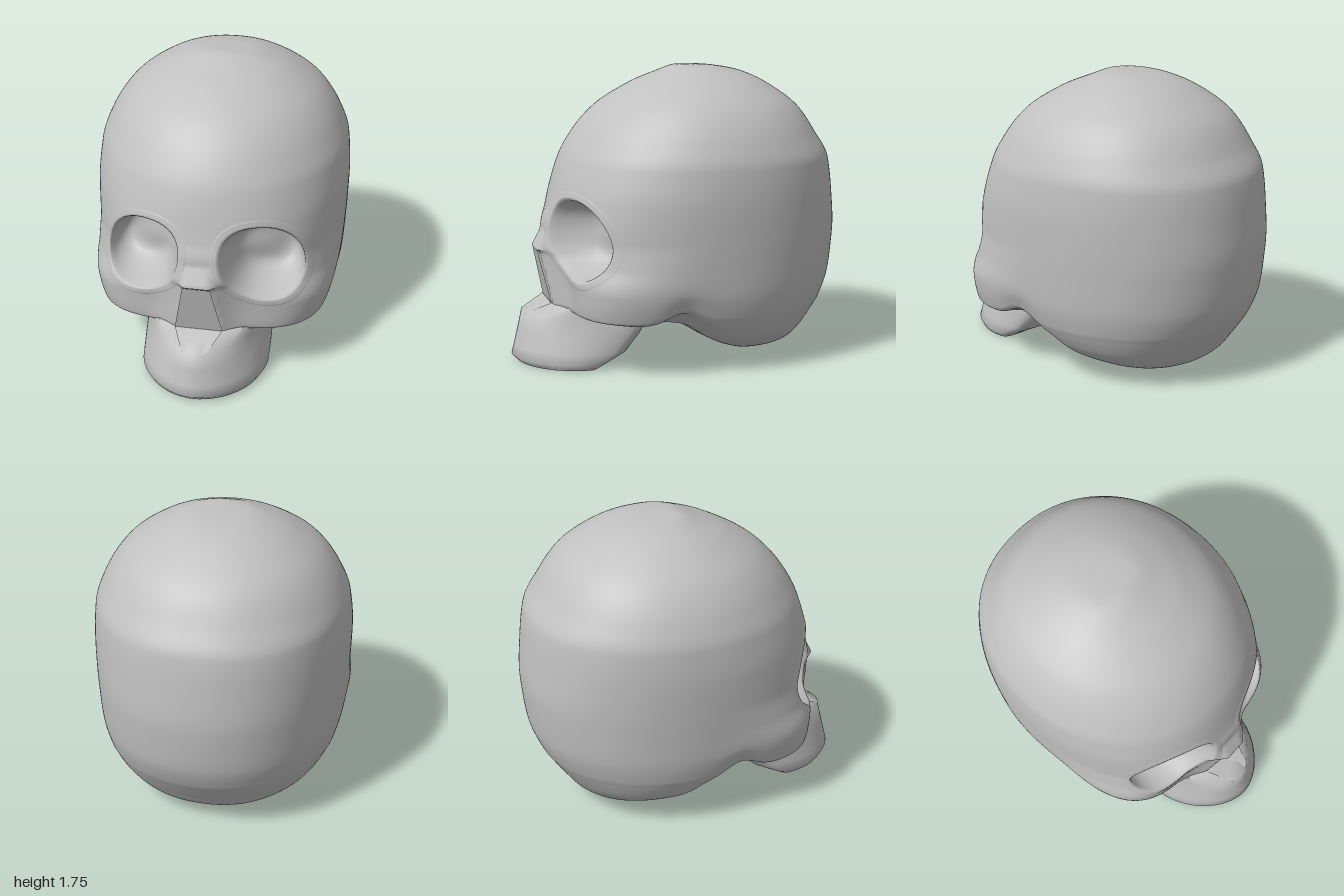
import * as THREE from 'three';
import { toCreasedNormals } from 'three/addons/utils/BufferGeometryUtils.js';

const { clamp, smoothstep, lerp } = THREE.MathUtils;

// Each row: y, front z, back z, half width, widest z, front squareness
const CRANIUM = [
  [0.02, -0.36, -0.5, 0.1, -0.43, 2],
  [0.05, -0.26, -0.62, 0.28, -0.4, 2],
  [0.11, -0.14, -0.745, 0.46, -0.33, 2],
  [0.2, 0, -0.815, 0.605, -0.22, 2],
  [0.28, 0.16, -0.87, 0.665, -0.16, 2.2],
  [0.31, 0.4, -0.89, 0.682, -0.14, 2.8],
  [0.325, 0.62, -0.9, 0.69, -0.13, 3.4],
  [0.35, 0.69, -0.915, 0.702, -0.12, 3.8],
  [0.5, 0.705, -0.97, 0.735, -0.1, 3.7],
  [0.65, 0.735, -0.99, 0.745, -0.1, 2.75],
  [0.8, 0.79, -1, 0.752, -0.1, 2.2],
  [1.0, 0.75, -0.985, 0.757, -0.1, 2.15],
  [1.21, 0.69, -0.955, 0.742, -0.12, 2.05],
  [1.35, 0.615, -0.875, 0.693, -0.13, 2],
  [1.51, 0.475, -0.765, 0.59, -0.14, 2],
  [1.65, 0.25, -0.575, 0.412, -0.15, 2],
  [1.72, 0.08, -0.42, 0.265, -0.15, 2],
  [1.75, 0.005, -0.27, 0.165, -0.13, 2],
  [1.76, -0.025, -0.14, 0.07, -0.08, 2],
];

// Smooth profile through the table without overshoot
function rowAt(rows, y) {
  const slope = (i, c) => (rows[i + 1][c] - rows[i][c]) / (rows[i + 1][0] - rows[i][0]);
  const tangent = (i, c) => {
    if (i === 0) return slope(0, c);
    if (i === rows.length - 1) return slope(i - 1, c);
    const a = slope(i - 1, c), b = slope(i, c);
    return a * b > 0 ? (2 * a * b) / (a + b) : 0;
  };
  let i = 0;
  while (i < rows.length - 2 && y > rows[i + 1][0]) i++;
  const h = rows[i + 1][0] - rows[i][0], t = (y - rows[i][0]) / h;
  return rows[i].map((p, c) => {
    if (c === 0) return y;
    const q = rows[i + 1][c], m = tangent(i, c) * h, n = tangent(i + 1, c) * h;
    return p + t * (m + t * (3 * (q - p) - 2 * m - n + t * (2 * (p - q) + m + n)));
  });
}

function refine(rows, steps) {
  const out = [rows[0]];
  for (let i = 1; i < rows.length; i++) {
    for (let k = 1; k <= steps; k++) out.push(rowAt(rows, lerp(rows[i - 1][0], rows[i][0], k / steps)));
  }
  return out;
}

// Stacks rounded horizontal loops; shape moves a point, cut leaves out cells
function loft(rows, segments, backPower, crease, shape = () => {}, cut = () => false) {
  const pos = [], index = [], open = [];
  for (const [y, zf, zb, hw, zc, n] of rows) {
    for (let j = 0; j < segments; j++) {
      const a = (j / segments) * Math.PI * 2;
      const c = Math.cos(a), s = Math.sin(a);
      const p = s > 0 ? n : backPower;
      const r = 1 / Math.pow(Math.abs(c) ** p + Math.abs(s) ** p, 1 / p);
      const v = new THREE.Vector3(hw * c * r, y, zc + s * r * (s > 0 ? zf - zc : zc - zb));
      shape(v);
      open.push(cut(v));
      pos.push(v.x, v.y, v.z);
    }
  }
  const last = rows.length - 1;
  for (let i = 0; i < last; i++) {
    for (let j = 0; j < segments; j++) {
      const a = i * segments + j, b = i * segments + ((j + 1) % segments);
      const c = a + segments, d = b + segments;
      if (!(open[a] || open[b] || open[c] || open[d])) index.push(a, c, b, b, c, d);
    }
  }
  // Close both ends
  for (const i of [0, last]) {
    const [y, zf, zb] = rows[i];
    const centre = pos.length / 3;
    pos.push(0, y, (zf + zb) / 2);
    for (let j = 0; j < segments; j++) {
      const a = i * segments + j, b = i * segments + ((j + 1) % segments);
      index.push(centre, i ? b : a, i ? a : b);
    }
  }
  return toCreasedNormals(surface(pos, index), crease);
}

function surface(pos, index) {
  const geo = new THREE.BufferGeometry();
  geo.setAttribute('position', new THREE.Float32BufferAttribute(pos, 3));
  geo.setIndex(index);
  geo.computeVertexNormals();
  return geo;
}

// Depth of the face with the nose ridge added
function withNose(x, y, z) {
  if (y < 0.33 || y > 0.92) return z;
  const ridge = y < 0.67 ? lerp(0.765, 0.83, (y - 0.34) / 0.33)
    : y < 0.69 ? lerp(0.83, 0.86, (y - 0.67) / 0.02)
      : lerp(0.86, 0.8, Math.min(1, (y - 0.69) / 0.11));
  const w = lerp(0.14, 0.05, clamp((y - 0.37) / 0.43, 0, 1));
  const f = clamp(1 - (Math.abs(x) - w) / 0.2, 0, 1);
  const fade = smoothstep(y, 0.33, 0.36) * (1 - smoothstep(y, 0.8, 0.92));
  return z + Math.max(0, ridge - z) * f * f * fade;
}

function shapeFace(v) {
  if (v.z > 0.2) v.z = withNose(v.x, v.y, v.z);
  // Notch behind the cheekbone
  const notch = Math.exp(-(((v.z - 0.12) / 0.13) ** 2));
  v.y += 0.08 * notch * smoothstep(Math.abs(v.x), 0.45, 0.65) * (1 - smoothstep(v.y, 0.3, 0.6));
}

// Eye socket outline, leaning outwards at the bottom
const EYE = { x: 0.347, y: 0.786, rx: 0.205, ry: 0.208, lean: 0.2, power: 2.2 };

function inSocket(v) {
  const dy = v.y - EYE.y, dx = Math.abs(v.x) - EYE.x + EYE.lean * dy;
  const q = (Math.abs(dx) / EYE.rx) ** EYE.power + (Math.abs(dy) / EYE.ry) ** EYE.power;
  return v.z > 0.2 && q < 1.15 ** EYE.power;
}

// Bowl with a rounded rim that laps over the skin
function socket(side) {
  const pos = [], index = [], rings = 30, segments = 64;
  for (let i = 0; i <= rings; i++) {
    const rho = (i / rings) * 1.36;
    for (let j = 0; j < segments; j++) {
      const a = (j / segments) * Math.PI * 2, c = Math.cos(a), s = Math.sin(a);
      const r = rho / Math.pow(Math.abs(c) ** EYE.power + Math.abs(s) ** EYE.power, 1 / EYE.power);
      const dy = EYE.ry * r * s, y = EYE.y + dy;
      const x = EYE.x - EYE.lean * dy + EYE.rx * r * c;
      const [, zf, , hw, zc, n] = rowAt(CRANIUM, y);
      const plain = zc + (zf - zc) * Math.max(0, 1 - (x / hw) ** n) ** (1 / n);
      const skin = lerp(plain, withNose(x, y, plain), smoothstep(rho, 0.6, 1));
      const depth = 0.28 * Math.max(0, 1 - (rho / 1.1) ** 4.5);
      pos.push(side * x, y, skin - depth + (i === rings ? -0.006 : 0.001));
    }
  }
  for (let i = 0; i < rings; i++) {
    for (let j = 0; j < segments; j++) {
      const a = i * segments + j, b = i * segments + ((j + 1) % segments);
      const c = a + segments, d = b + segments;
      if (side > 0) index.push(a, c, b, b, c, d);
      else index.push(a, b, c, b, d, c);
    }
  }
  return surface(pos, index);
}

export function createModel() {
  const group = new THREE.Group();
  group.name = 'skull';
  const bone = new THREE.MeshStandardMaterial({ color: 0xc0c0c0 });
  bone.name = 'bone grey';
  const add = (name, geometry) => {
    const mesh = new THREE.Mesh(geometry, bone);
    mesh.name = name;
    group.add(mesh);
  };

  // Braincase, cheeks and brow in one skin
  add('cranium', loft(refine(CRANIUM, 12), 240, 2.15, 0.75, shapeFace, inSocket));
  add('leftEyeSocket', socket(1));
  add('rightEyeSocket', socket(-1));

  // Upper jaw, its back sloping up to the skull base
  const jaw = [
    [0.005, 0.965, 0.53, 0.35, 0.6, 1.85],
    [0.04, 1.0, 0.47, 0.378, 0.57, 1.8],
    [0.1, 0.985, 0.34, 0.38, 0.5, 1.85],
    [0.2, 0.962, 0.26, 0.38, 0.42, 1.8],
    [0.305, 0.94, 0.19, 0.378, 0.36, 1.7],
    [0.365, 0.79, 0.19, 0.36, 0.35, 2.6],
  ];
  add('upperJaw', loft(jaw, 64, 3.5, 1.1));

  // Nose opening and its floor
  const quad = [0, 1, 2, 0, 2, 3];
  add('noseOpening', surface([
    [-0.14, 0.37, 0.78], [0.14, 0.37, 0.78], [0.08, 0.68, 0.848], [-0.08, 0.68, 0.848],
  ].flat(), quad));
  add('noseFloor', surface([
    [-0.072, 0.304, 0.928], [0.072, 0.304, 0.928], [0.14, 0.372, 0.782], [-0.14, 0.372, 0.782],
  ].flat(), quad));
  return group;
}
